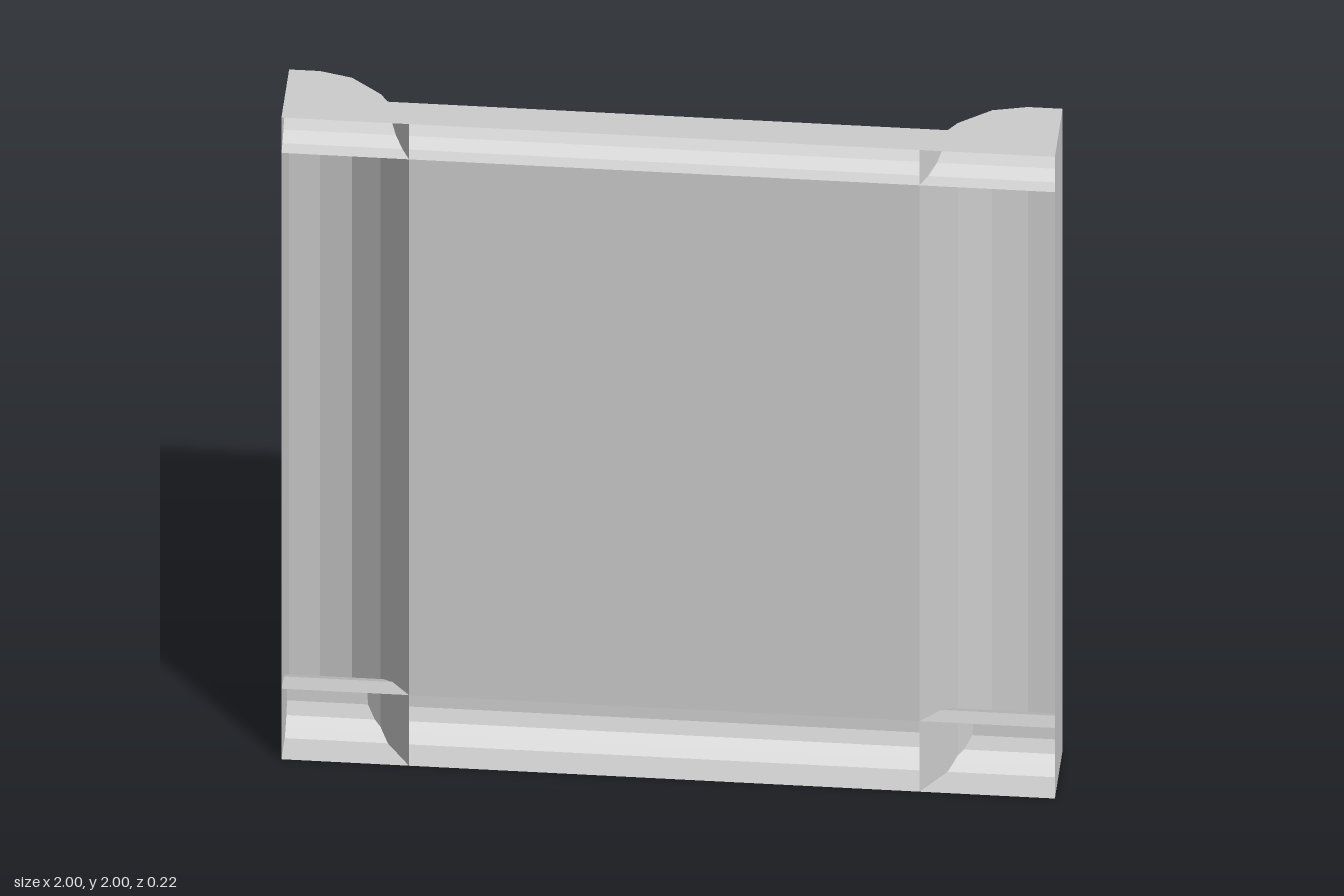
import * as THREE from 'three';

const FRONT = 0.11; // open front plane of the shell
const RAIL = 0.013; // depth reached by the top and bottom rails at the caps

// Sweeps an open profile between two ends; place() turns (point, t) into xyz.
function ribbon(profile, from, to, place) {
  const positions = [];
  for (let i = 0; i + 1 < profile.length; i++) {
    const [p, q] = [profile[i], profile[i + 1]];
    const [a, b, c, d] = [place(p, from), place(q, from), place(q, to), place(p, to)];
    positions.push(...a, ...b, ...c, ...a, ...c, ...d);
  }
  const geometry = new THREE.BufferGeometry();
  geometry.setAttribute('position', new THREE.Float32BufferAttribute(positions, 3));
  geometry.computeVertexNormals();
  return geometry;
}

export function createModel() {
  const group = new THREE.Group();
  group.name = 'framedPanel';
  const material = new THREE.MeshStandardMaterial({
    color: 0xcccccc, flatShading: true, side: THREE.DoubleSide,
  });
  material.name = 'plain grey';
  const add = (name, geometry) => {
    const mesh = new THREE.Mesh(geometry, material);
    mesh.name = name;
    group.add(mesh);
    return mesh;
  };

  // Side posts: (x, z) profiles from the inner edge round to the outer wall
  const rightPost = [[-0.67, FRONT], [-0.755, -0.02], [-0.835, -0.088],
    [-0.92, -0.111], [-1, -0.111], [-1, FRONT]];
  const leftPost = [[1, FRONT], [1, -0.111], [0.91, -0.111],
    [0.82, -0.088], [0.737, -0.022], [0.65, FRONT]];
  const upright = ([x, z], y) => [x, y, z];
  add('rightPost', ribbon(rightPost, 0, 2, upright));
  add('leftPost', ribbon(leftPost, 0, 2, upright));

  // Top and bottom rails: (y, z) profiles running the full width
  const topRail = [[1.89, FRONT], [1.9, 0.08], [1.922, 0.05], [1.955, 0.028], [2, RAIL]];
  const bottomRail = [[0, RAIL], [0.018, -0.01], [0.04, -0.034], [0.075, -0.05],
    [0.11, -0.052], [0.147, -0.038], [0.185, -0.008], [0.207, 0.035], [0.22, FRONT]];
  const across = ([y, z], x) => [x, y, z];
  add('topRail', ribbon(topRail, -1, 1, across));
  add('bottomRail', ribbon(bottomRail, -1, 1, across));

  // Flat panel flush with the front
  const panel = add('panel', new THREE.PlaneGeometry(1.32, 1.67));
  panel.position.set(-0.01, 1.055, FRONT);

  // End caps: both post sections joined by the rail strip
  const outline = [[-1, FRONT], [1, FRONT], [1, -0.111], [0.91, -0.111], [0.82, -0.088],
    [0.737, -0.022], [0.715, RAIL], [-0.733, RAIL], [-0.755, -0.02],
    [-0.835, -0.088], [-0.92, -0.111], [-1, -0.111]];
  const shape = new THREE.Shape(outline.map(([x, z]) => new THREE.Vector2(x, -z)));
  for (const [name, y] of [['topCap', 2], ['bottomCap', 0]]) {
    const cap = new THREE.ShapeGeometry(shape).rotateX(-Math.PI / 2);
    add(name, cap).position.y = y;
  }
  return group;
}
